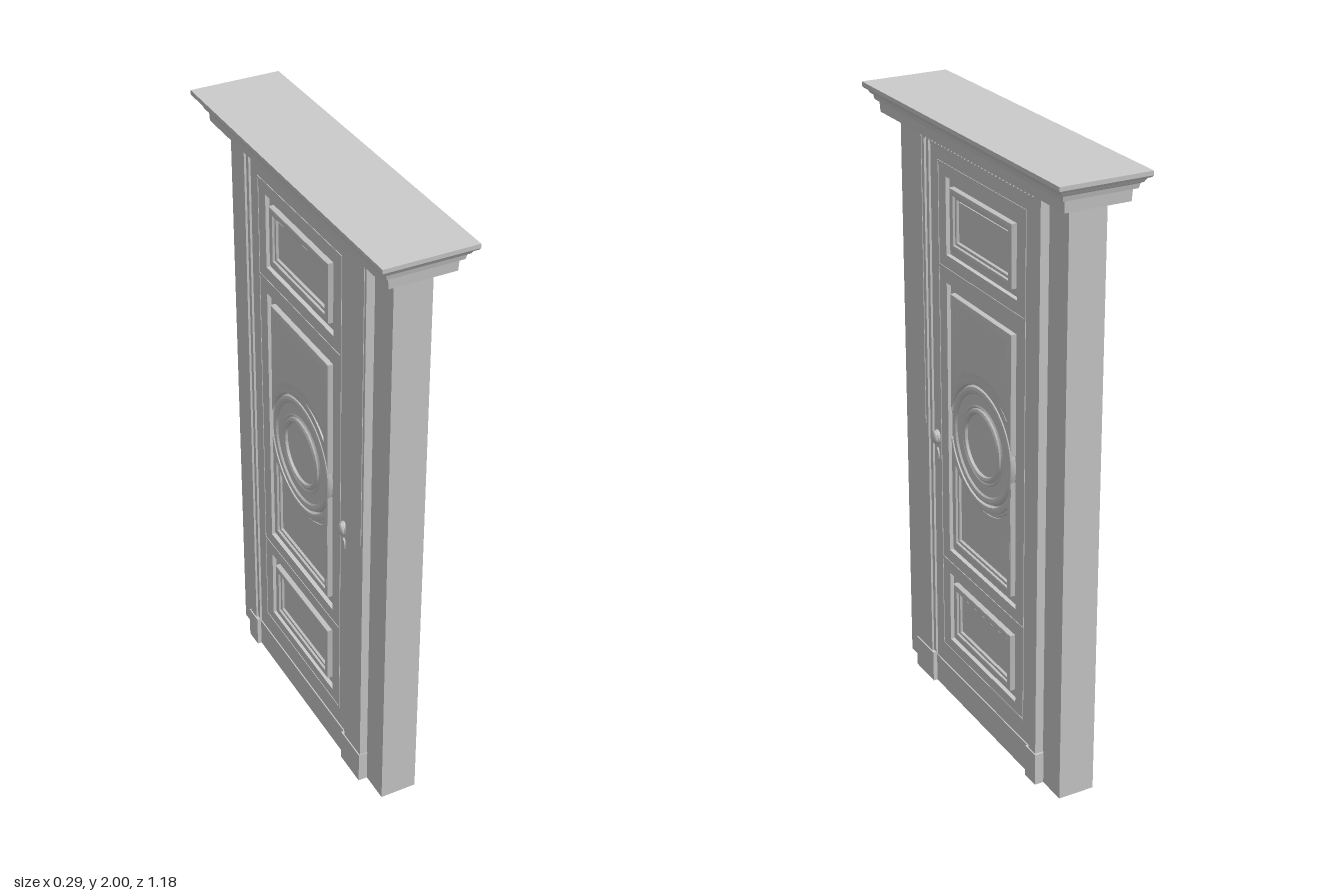
import * as THREE from 'three';
import { toCreasedNormals } from 'three/addons/utils/BufferGeometryUtils.js';

const CZ = -0.03; // door centre along z
const MY = 1.008; // medallion centre height

export function createModel() {
  const root = new THREE.Group();
  root.name = 'panelledDoor';
  const mat = new THREE.MeshStandardMaterial({ color: 0xcccccc });

  const add = (name, geo, x = 0, y = 0, z = 0) => {
    const m = new THREE.Mesh(geo, mat);
    m.name = name;
    m.position.set(x, y, z);
    root.add(m);
    return m;
  };
  // Box spanning z0..z1, y0..y1 and reaching +-hx, so it shows on both faces
  const slab = (name, z0, z1, y0, y1, hx) =>
    add(name, new THREE.BoxGeometry(2 * hx, y1 - y0, Math.abs(z1 - z0)), 0, (y0 + y1) / 2, (z0 + z1) / 2);

  // Outline drawn as (z, y) points
  const rect = (hw, y0, y1) => [[-hw, y0], [hw, y0], [hw, y1], [-hw, y1]]
    .map(([z, y]) => new THREE.Vector2(CZ + z, y));
  // Rectangle with one end bitten by a circle round the medallion; dir = 1 above, -1 below
  const bitten = (hw, yEnd, r, dir) => {
    const a = Math.acos(hw / r), pts = [];
    for (let i = 0; i <= 32; i++) {
      const t = a + (Math.PI - 2 * a) * i / 32;
      pts.push(new THREE.Vector2(CZ + r * Math.cos(t), MY + dir * r * Math.sin(t)));
    }
    pts.push(new THREE.Vector2(CZ - hw, yEnd), new THREE.Vector2(CZ + hw, yEnd));
    return pts;
  };
  // Extrude an outline with holes symmetrically through the door
  const plate = (name, outer, holes, hx, bevel = 0) => {
    const s = new THREE.Shape(outer);
    holes.forEach(h => s.holes.push(new THREE.Path(h)));
    const g = new THREE.ExtrudeGeometry(s, {
      depth: 2 * (hx - bevel), bevelEnabled: bevel > 0, bevelSize: bevel,
      bevelThickness: bevel, bevelSegments: 2, bevelOffset: -bevel,
    });
    g.translate(0, 0, -(hx - bevel));
    g.rotateY(-Math.PI / 2);
    add(name, toCreasedNormals(g, 0.5));
  };

  // Side posts and door core
  slab('leftPost', 0.4, 0.5, 0, 1.92, 0.06);
  slab('rightPost', -0.4, -0.5, 0, 1.92, 0.06);
  slab('doorCore', -0.4, 0.4, 0, 1.92, 0.058);

  // Casings with plinths and inner beads
  slab('leftCasing', 0.295, 0.4, 0, 1.92, 0.086);
  slab('leftCasingPanel', 0.31, 0.39, 0.95, 1.91, 0.088);
  slab('leftCasingBead', 0.28, 0.296, 0, 1.92, 0.079);
  slab('leftPlinth', 0.28, 0.402, 0, 0.11, 0.09);
  slab('rightCasing', -0.355, -0.395, 0, 1.92, 0.086);
  slab('rightCasingBead', -0.34, -0.356, 0, 1.92, 0.079);
  slab('rightPlinth', -0.34, -0.402, 0, 0.11, 0.09);

  // Door leaf with three recesses
  const fields = [[0.21, 0.46], [0.545, 1.465], [1.555, 1.8]];
  plate('doorLeaf', rect(0.31, 0.1, 1.92), fields.map(([a, b]) => rect(0.215, a, b)), 0.072);
  slab('kickBoard', 0.28, -0.34, 0, 0.1, 0.076);

  // Thin beads around the three fields
  [[0.17, 0.5], [0.5, 1.51], [1.51, 1.84]].forEach(([a, b]) =>
    plate('fieldBead', rect(0.265, a, b), [rect(0.26, a + 0.005, b - 0.005)], 0.074));

  // Rectangular panels: moulded frame and raised centre
  [[0.235, 0.435], [1.58, 1.775]].forEach(([a, b]) => {
    plate('panelMoulding', rect(0.187, a, b), [rect(0.165, a + 0.022, b - 0.022)], 0.076, 0.005);
    plate('panelInnerBead', rect(0.167, a + 0.02, b - 0.02), [rect(0.156, a + 0.031, b - 0.031)], 0.068, 0.003);
    plate('panelCentre', rect(0.15, a + 0.037, b - 0.037), [], 0.062);
  });

  // Tall panel: upper and lower halves curved around the medallion
  [[1, 1.44], [-1, 0.575]].forEach(([d, end]) => {
    const ring = o => bitten(0.187 - o, end - d * o, 0.192 + o, d);
    plate('tallPanelMoulding', ring(0), [ring(0.022)], 0.076, 0.005);
    plate('tallPanelInnerBead', ring(0.02), [ring(0.031)], 0.068, 0.003);
    plate('tallPanelCentre', ring(0.037), [], 0.062);
  });

  // Round medallion, profile mirrored to show on both faces
  const half = [[0, 0.066], [0.098, 0.066], [0.101, 0.074], [0.108, 0.078], [0.115, 0.074], [0.118, 0.068],
    [0.123, 0.072], [0.128, 0.068], [0.162, 0.068], [0.166, 0.074], [0.176, 0.077], [0.184, 0.074], [0.188, 0.066]];
  const profile = [...half.map(([r, h]) => [r, -h]), ...half.slice().reverse()]
    .map(([r, h]) => new THREE.Vector2(r, h));
  const med = new THREE.LatheGeometry(profile, 64);
  med.rotateZ(Math.PI / 2);
  add('medallion', toCreasedNormals(med, 0.5), 0, MY, CZ);

  // Stepped cornice: four-sided lathe stretched along z
  const steps = [[0, 1.91], [0.104, 1.91], [0.106, 1.945], [0.117, 1.948], [0.12, 1.963], [0.127, 1.967],
    [0.133, 1.978], [0.142, 1.982], [0.145, 1.987], [0.145, 2], [0, 2]]
    .map(([r, y]) => new THREE.Vector2(r * Math.SQRT2, y));
  let cornice = new THREE.LatheGeometry(steps, 4, Math.PI / 4);
  const p = cornice.attributes.position;
  for (let i = 0; i < p.count; i++) {
    const z = p.getZ(i);
    if (Math.abs(z) > 1e-4) p.setZ(i, z + Math.sign(z) * 0.445);
  }
  cornice = cornice.toNonIndexed();
  cornice.computeVertexNormals();
  add('cornice', cornice);

  // Dentils under the cornice
  for (let i = 0; i < 32; i++) {
    const z = 0.275 - i * 0.0203;
    slab('dentil', z - 0.006, z + 0.006, 1.898, 1.915, 0.094);
  }

  // Handle and keyhole plate on each face
  for (const s of [1, -1]) {
    const rose = new THREE.CylinderGeometry(0.018, 0.02, 0.01, 24);
    rose.rotateZ(-s * Math.PI / 2);
    add('handleRose', rose, s * 0.075, 0.92, 0.258).scale.set(1, 1.3, 1);
    add('handleKnob', new THREE.SphereGeometry(0.015, 24, 16), s * 0.081, 0.92, 0.258).scale.set(0.8, 1.5, 1);
    const key = new THREE.CylinderGeometry(0.011, 0.012, 0.006, 20);
    key.rotateZ(-s * Math.PI / 2);
    add('keyholePlate', key, s * 0.074, 0.86, 0.258).scale.set(1, 2, 1);
  }
  return root;
}
